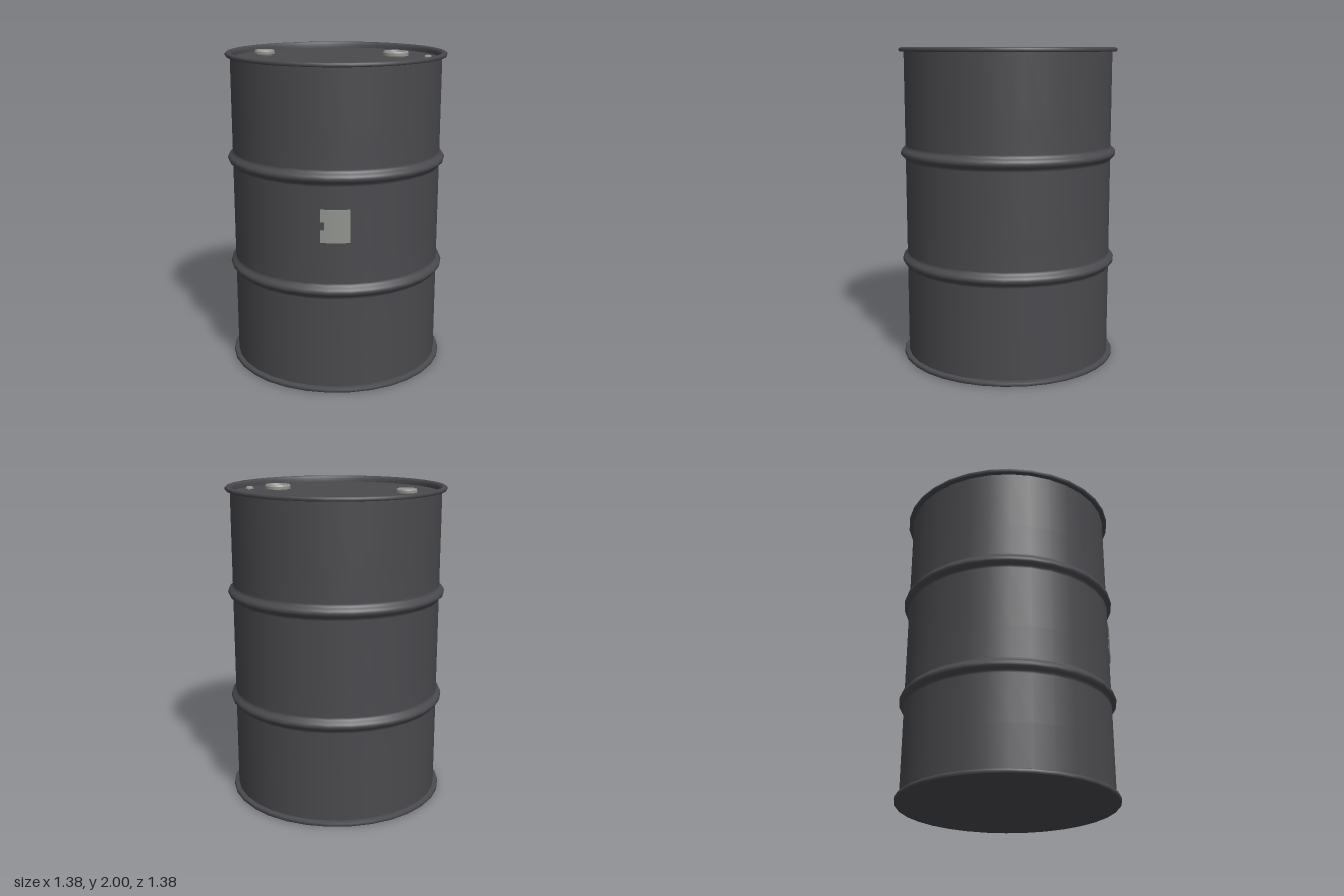
import * as THREE from 'three';

const SIDES = 32;
const LID_Y = 1.96;

export function createModel() {
  const paint = new THREE.MeshStandardMaterial({ color: 0x4a494d });
  paint.name = 'darkGreyPaint';
  const metal = new THREE.MeshStandardMaterial({ color: 0x92948f, side: THREE.DoubleSide });
  metal.name = 'bareMetal';

  const drum = new THREE.Group();
  drum.name = 'drum';

  // Revolves [radius, height] pairs, listed so that the outside is on the right
  const lathe = (name, pairs, material, parent = drum, sides = SIDES, start = 0, sweep = Math.PI * 2) => {
    const points = pairs.map(([r, y]) => new THREE.Vector2(r, y));
    const mesh = new THREE.Mesh(new THREE.LatheGeometry(points, sides, start, sweep), material);
    mesh.name = name;
    parent.add(mesh);
    return mesh;
  };

  // Each segment is its own strip, which keeps the corners sharp
  const sharpLathe = (name, pairs, material, parent, sides, start, sweep) => {
    for (let i = 0; i < pairs.length - 1; i++) {
      lathe(name, [pairs[i], pairs[i + 1]], material, parent, sides, start, sweep);
    }
  };

  // Side wall and the two rolling hoops
  const hoops = [0.65, 1.34];
  const wall = [[0.66, 0.03], [0.66, 0.3]];
  for (const y of hoops) {
    for (const [dr, dy] of [[0, -0.05], [0.003, -0.036], [0.015, -0.026], [0.027, -0.014], [0.031, 0],
      [0.027, 0.014], [0.015, 0.026], [0.003, 0.036], [0, 0.05]]) {
      wall.push([0.66 + dr, y + dy]);
    }
    wall.push([0.66, y + 0.25]);
  }
  wall.push([0.66, 1.975]);
  lathe('sideWall', wall, paint);

  // Rolled rims
  lathe('bottomRim', [[0.672, 0], [0.684, 0.002], [0.69, 0.009], [0.69, 0.022], [0.684, 0.029], [0.66, 0.031]], paint);
  lathe('topRim', [[0.66, 1.973], [0.684, 1.974], [0.69, 1.98], [0.69, 1.993], [0.683, 1.999],
    [0.667, 2], [0.656, 1.993], [0.651, 1.98], [0.65, LID_Y]], paint);

  // Flat ends
  lathe('base', [[0, 0], [0.672, 0]], paint);
  lathe('lid', [[0.65, LID_Y], [0, LID_Y]], paint);

  // Plugs on the lid
  const addPlug = (name, x, z, profile) => {
    const plug = new THREE.Group();
    plug.name = name;
    plug.position.set(x, LID_Y, z);
    sharpLathe(name + 'Part', profile, metal, plug, 20);
    drum.add(plug);
  };
  addPlug('smallPlug', -0.2, -0.42,
    [[0.058, 0], [0.065, 0.012], [0.065, 0.028], [0.058, 0.036], [0.054, 0.033], [0, 0.033]]);
  addPlug('largePlug', 0.235, 0.29,
    [[0.074, 0], [0.081, 0.01], [0.081, 0.028], [0.074, 0.038], [0.064, 0.038], [0.058, 0.018], [0, 0.018]]);
  addPlug('sealStud', 0.326, 0.47, [[0.025, 0], [0.024, 0.01], [0.016, 0.016], [0, 0.016]]);

  // Curved plate on the side, with a notch in its outer edge
  const plate = new THREE.Group();
  plate.name = 'sidePlate';
  drum.add(plate);
  const patch = (name, y0, y1, start, end) =>
    sharpLathe(name, [[0.659, y0], [0.668, y0], [0.668, y1], [0.659, y1]], metal, plate, 4, start, end - start);
  patch('plateBody', 0.955, 1.155, -1.015, -0.785);
  patch('plateTopTab', 1.08, 1.155, -1.05, -1.015);
  patch('plateBottomTab', 0.955, 1.03, -1.05, -1.015);

  return drum;
}
